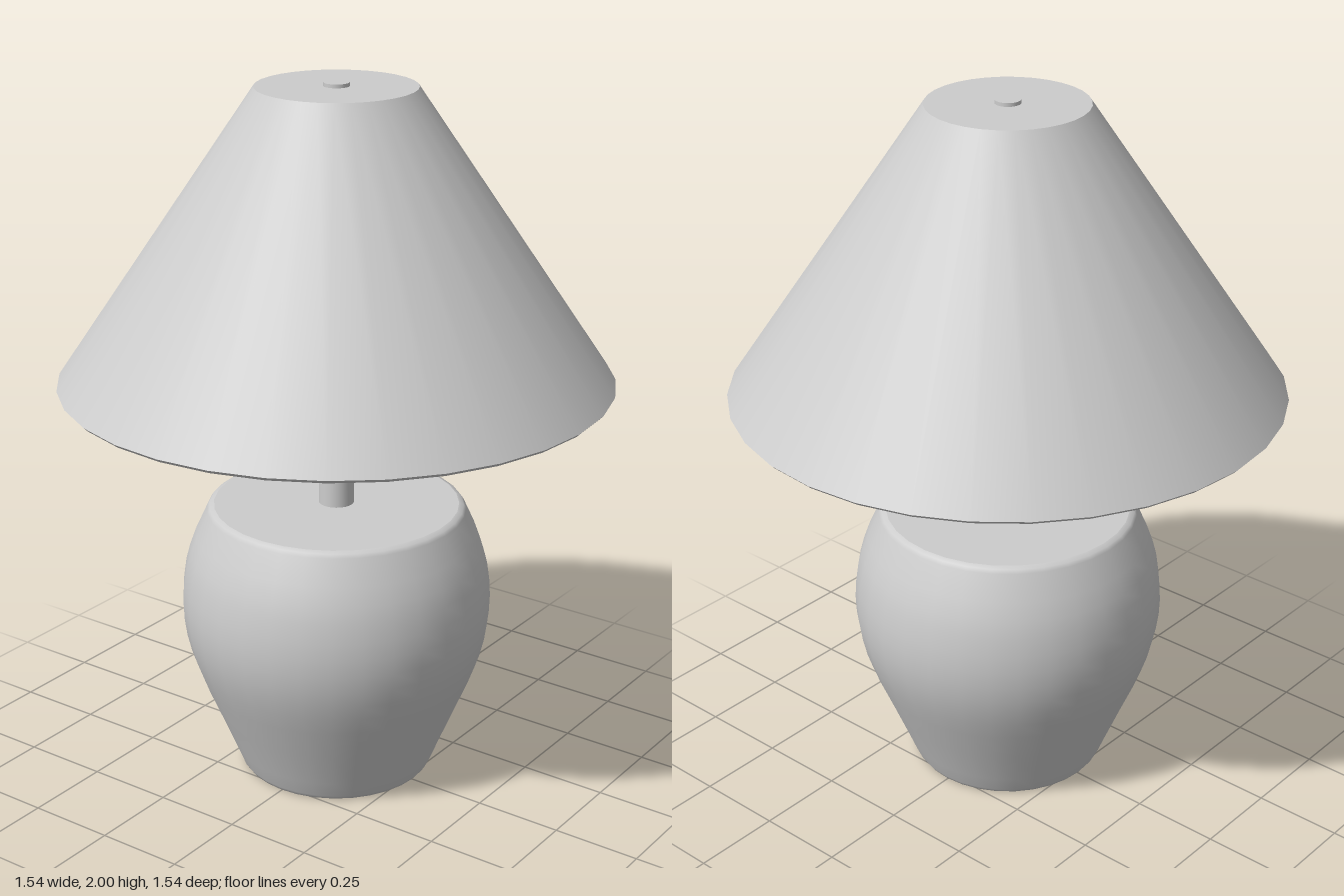
import * as THREE from 'three';

const SEGMENTS = 32;

export function createModel() {
  const lamp = new THREE.Group();
  lamp.name = 'tableLamp';
  const grey = new THREE.MeshStandardMaterial({ color: 0xcccccc });
  grey.name = 'plain grey';

  // Revolve [radius, height] points, listed from the bottom outward and up
  function turned(name, points) {
    const profile = points.map(([r, y]) => new THREE.Vector2(r, y));
    const mesh = new THREE.Mesh(new THREE.LatheGeometry(profile, SEGMENTS), grey);
    mesh.name = name;
    lamp.add(mesh);
  }

  // Rounded jar body with softened rims and flat ends
  turned('baseBody', [
    [0.26, 0], [0.272, 0.003], [0.28, 0.015], [0.3, 0.065], [0.345, 0.175],
    [0.385, 0.27], [0.405, 0.325], [0.42, 0.37], [0.432, 0.42], [0.439, 0.47],
    [0.441, 0.52], [0.438, 0.57], [0.43, 0.625], [0.418, 0.67], [0.4, 0.72],
    [0.367, 0.792], [0.36, 0.802], [0.347, 0.807],
  ]);
  turned('baseBottom', [[0, 0.004], [0.235, 0.004], [0.26, 0]]);
  turned('baseTop', [[0.347, 0.807], [0, 0.807]]);

  // Tapered stem whose end shows above the shade
  const stem = new THREE.Mesh(new THREE.CylinderGeometry(0.035, 0.05, 1.2, SEGMENTS), grey);
  stem.name = 'stem';
  stem.position.y = 1.4;
  lamp.add(stem);

  // Thin conical shade: outside, lower rim, inside, and closed top
  turned('shadeOuter', [[0.77, 1.18], [0.22, 1.99]]);
  turned('shadeRim', [[0.76, 1.17], [0.77, 1.18]]);
  turned('shadeInner', [[0, 1.98], [0.212, 1.98], [0.212, 1.98], [0.76, 1.17]]);
  turned('shadeTop', [[0.22, 1.99], [0, 1.99]]);

  return lamp;
}
